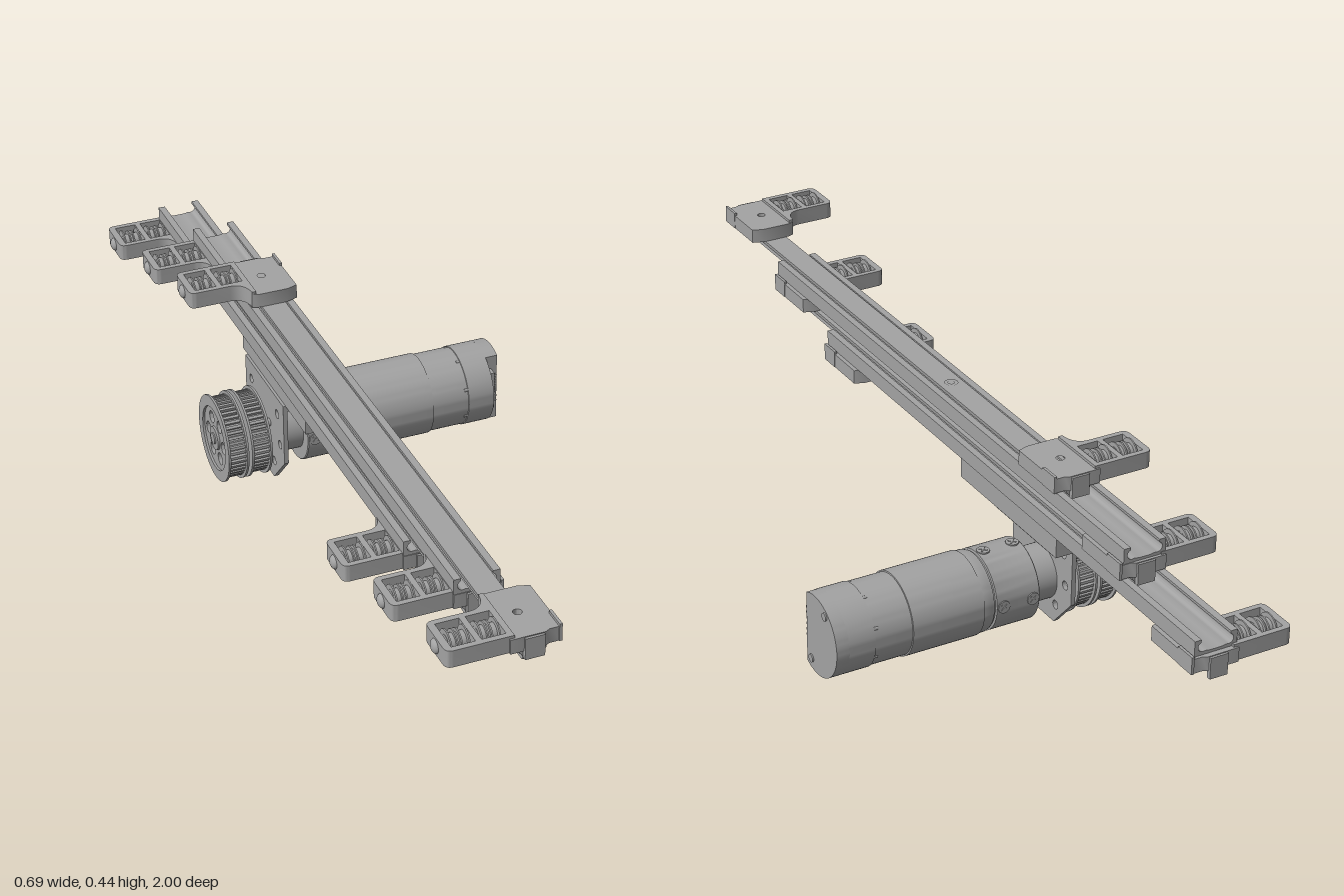
import * as THREE from 'three';
import { toCreasedNormals } from 'three/addons/utils/BufferGeometryUtils.js';

export function createModel() {
  const model = new THREE.Group();
  model.name = 'motorisedTelescopicSlide';
  const steel = new THREE.MeshStandardMaterial({ color: 0xa3a3a3 });
  steel.name = 'steelGrey';
  const CX = -0.1625;            // rail centre line
  const MY = 0.1, MZ = -0.32;    // motor axis

  const add = (geo, name, parent = model) => {
    const m = new THREE.Mesh(geo, steel);
    m.name = name;
    parent.add(m);
    return m;
  };
  const box = (name, x0, x1, y0, y1, z0, z1, parent) =>
    add(new THREE.BoxGeometry(x1 - x0, y1 - y0, Math.abs(z1 - z0)), name, parent)
      .position.set((x0 + x1) / 2, (y0 + y1) / 2, (z0 + z1) / 2);
  const rodX = (name, x0, x1, r, y = MY, z = MZ, parent = model, seg = 48) => {
    const m = add(new THREE.CylinderGeometry(r, r, x1 - x0, seg).rotateZ(Math.PI / 2), name, parent);
    m.position.set((x0 + x1) / 2, y, z);
    return m;
  };
  const extrude = (shape, depth, curveSegments = 12) =>
    toCreasedNormals(new THREE.ExtrudeGeometry(shape, { depth, bevelEnabled: false, curveSegments }), 0.5);
  // shape drawn in (-z, y), pushed along +x
  const alongX = (name, shape, x0, x1, seg) => {
    const m = add(extrude(shape, x1 - x0, seg).rotateY(Math.PI / 2), name);
    m.position.x = x0;
    return m;
  };
  // shape drawn in (x, z), occupying y0..y1
  const upright = (name, shape, y0, y1, parent) => {
    const m = add(extrude(shape, y1 - y0, 8).rotateX(Math.PI / 2), name, parent);
    m.position.y = y1;
    return m;
  };
  const poly = pts => new THREE.Shape(pts.map(p => new THREE.Vector2(...p)));
  const hole = (x, y, r) => new THREE.Path().absarc(x, y, r, 0, Math.PI * 2, true);
  const arcPts = (cx, cy, r, a0, a1, n = 8) =>
    Array.from({ length: n + 1 }, (_, i) => {
      const a = a0 + (a1 - a0) * i / n;
      return [cx + r * Math.cos(a), cy + r * Math.sin(a)];
    });
  const mirrored = half => poly([...half, ...half.map(([x, y]) => [-x, y]).reverse()]);

  // Rails: channel with ball grooves, and the inner rail running in it
  const channel = mirrored([[0.012, 0.006], [0.024, 0.008],
    ...arcPts(0.029, 0.018, 0.011, -1.9, 1.2), [0.033, 0.034], [0.048, 0.034], [0.048, 0]]);
  const innerRail = mirrored([[0.019, 0.012], ...arcPts(0.03, 0.018, 0.009, 3.7, 1.9), [0.027, 0.034]]);
  const rail = (name, shape, y, z0, z1) =>
    add(extrude(shape, z1 - z0), name).position.set(CX, y, z0);
  rail('lowerChannel', channel, 0.283, -0.985, 0.495);
  rail('middleInnerRail', innerRail, 0.286, -0.735, 0.735);
  rail('upperChannel', channel, 0.353, -0.735, 0.74);
  rail('upperInnerRail', innerRail, 0.356, -0.49, 0.99);
  for (const z of [0.02, 0.24]) {
    const ring = add(new THREE.RingGeometry(0.007, 0.015, 24).rotateX(-Math.PI / 2), 'railHoleRim');
    ring.position.set(CX, 0.3915, z);
  }

  // Pulley bracket: clamp plate, windowed arm, two small idlers on a bolt
  function bracket(y, zEnd) {
    const g = new THREE.Group();
    g.name = 'pulleyBracket';
    model.add(g);
    const d = Math.sign(zEnd);
    const z = s => zEnd - d * (0.155 - s);   // s runs outwards along the rail
    const plate = poly([[-0.21, 0.005], [-0.195, 0], [-0.13, 0], [-0.106, 0.008],
      [-0.106, 0.145], [-0.13, 0.145], [-0.14, 0.15], [-0.21, 0.15]].map(([x, s]) => [x, z(s)]));
    plate.holes.push(hole(CX, z(0.075), 0.009));
    upright('clampPlate', plate, y, y + 0.032, g);
    const arm = new THREE.Shape();
    arm.moveTo(-0.2, z(0.005));
    arm.lineTo(-0.21, z(0.005));
    arm.quadraticCurveTo(-0.212, z(0.045), -0.245, z(0.047));
    arm.lineTo(-0.32, z(0.047));
    arm.quadraticCurveTo(-0.335, z(0.047), -0.335, z(0.062));
    arm.lineTo(-0.335, z(0.13));
    arm.quadraticCurveTo(-0.335, z(0.146), -0.32, z(0.146));
    arm.lineTo(-0.2, z(0.146));
    for (const x of [-0.32, -0.26])
      arm.holes.push(new THREE.Path([[x, 0.059], [x + 0.048, 0.059], [x + 0.048, 0.134], [x, 0.134]]
        .map(([a, s]) => new THREE.Vector2(a, z(s)))));
    upright('idlerArm', arm, y + 0.001, y + 0.038, g);
    const yc = y + 0.019, zc = z(0.097);
    for (const x of [-0.296, -0.236]) {
      rodX('idlerCore', x - 0.02, x + 0.02, 0.018, yc, zc, g, 20);
      for (const e of [-0.018, -0.004, 0.004, 0.018])
        rodX('idlerFlange', x + e - 0.0015, x + e + 0.0015, Math.abs(e) > 0.01 ? 0.028 : 0.025, yc, zc, g, 24);
    }
    rodX('idlerBolt', -0.337, -0.2, 0.007, yc, zc, g, 16);
    const head = add(new THREE.SphereGeometry(0.015, 20, 8, 0, Math.PI * 2, 0, Math.PI / 2)
      .scale(1, 0.65, 1).rotateZ(Math.PI / 2), 'boltHead', g);
    head.position.set(-0.334, yc, zc);
    box('endTab', CX - 0.02, CX + 0.02, y - 0.017, y + 0.03, z(0.145), zEnd, g);
    box('sideLip', -0.111, -0.105, y, y + 0.038, z(0.1), z(0.147), g);
  }
  for (const [y, a, b] of [[0.39, 1, -0.5], [0.32, 0.745, -0.745], [0.25, 0.5, -1]]) {
    bracket(y, a);
    bracket(y, b);
  }

  // Motor mount: clamp bar, flange and upright plate
  box('mountBar', -0.194, -0.131, 0.221, 0.284, -0.465, -0.08);
  box('mountFlange', -0.2, -0.143, 0.207, 0.222, -0.435, -0.2);
  const plate = poly([[0.2, 0.22], [0.2, 0.075], [0.268, 0.002], [0.37, 0.002], [0.435, 0.075], [0.435, 0.22]]);
  for (const [a, b] of [[0.24, 0.18], [0.4, 0.18], [0.225, 0.11], [0.41, 0.11], [0.265, 0.045], [0.375, 0.045]])
    plate.holes.push(hole(a, b, 0.01));
  plate.holes.push(hole(0.32, MY, 0.03));
  alongX('mountPlate', plate, -0.2, -0.19);

  // Gearmotor
  rodX('gearboxNose', -0.19, -0.132, 0.06);
  for (let i = 0; i < 4; i++) {
    const a = Math.PI / 4 + i * Math.PI / 2;
    rodX('mountScrew', -0.206, -0.199, 0.009, MY + 0.045 * Math.sin(a), MZ + 0.045 * Math.cos(a), model, 12);
  }
  const profile = [[0, -0.132], [0.086, -0.132], [0.088, -0.13], [0.088, -0.03], [0.083, -0.029], [0.083, -0.026],
    [0.086, -0.025], [0.0885, -0.018], [0.0885, 0], [0.091, 0.0005], [0.091, 0.166], [0.088, 0.1665],
    [0.088, 0.251], [0.09, 0.2515], [0.09, 0.312], [0, 0.312]].map(([r, x]) => new THREE.Vector2(r, x));
  const body = add(toCreasedNormals(new THREE.LatheGeometry(profile, 64).rotateZ(-Math.PI / 2), 0.4), 'motorBody');
  body.position.set(0, MY, MZ);
  // End cap cut by a flat on its front side, where the connector sits
  const cut = Math.acos(-0.04 / 0.09);
  alongX('motorEndCap', poly(arcPts(0.32, MY, 0.09, -cut, cut, 48)), 0.311, 0.34);
  box('connector', 0.311, 0.325, 0.06, 0.15, -0.281, -0.258);
  for (let i = 0; i < 6; i++) box('connectorPin', 0.324, 0.334, 0.07 + i * 0.013, 0.075 + i * 0.013, -0.271, -0.266);
  for (const [y, z] of [[0.035, -0.3], [0.165, -0.36]]) rodX('endScrew', 0.339, 0.343, 0.009, y, z, model, 16);
  for (let i = 0; i < 8; i++) {
    const a = i * Math.PI / 4 + 0.4;
    rodX('ventTab', 0.243, 0.2515, 0.004, MY + 0.086 * Math.sin(a), MZ + 0.086 * Math.cos(a), model, 8);
  }
  // Cross-head screws around the gearbox
  for (let i = 0; i < 4; i++) for (const x of [-0.115, -0.046]) {
    const screw = new THREE.Group();
    screw.name = 'gearboxScrew';
    add(new THREE.CylinderGeometry(0.014, 0.014, 0.006, 20).rotateX(Math.PI / 2), 'screwHead', screw).position.z = 0.087;
    for (const t of [0.785, -0.785]) {
      const bar = add(new THREE.BoxGeometry(0.018, 0.003, 0.002), 'screwCross', screw);
      bar.position.z = 0.0905;
      bar.rotation.z = t;
    }
    screw.position.set(x, MY, MZ);
    screw.rotation.x = i * Math.PI / 2;
    model.add(screw);
  }

  // Output shaft and the two toothed belt pulleys
  rodX('outputShaft', -0.322, -0.17, 0.013, MY, MZ, model, 24);
  rodX('shaftCollar', -0.218, -0.188, 0.02, MY, MZ, model, 24);
  const teeth = [], N = 48;
  for (let i = 0; i < N; i++)
    for (const [f, r] of [[0, 0.091], [0.5, 0.091], [0.6, 0.084], [0.9, 0.084]]) {
      const a = (i + f) / N * Math.PI * 2;
      teeth.push([0.32 + r * Math.cos(a), MY + r * Math.sin(a)]);
    }
  const rim = poly(teeth);
  rim.holes.push(hole(0.32, MY, 0.074));
  const web = new THREE.Shape().absarc(0.32, MY, 0.075, 0, Math.PI * 2);
  for (let i = 0; i < 6; i++)
    web.holes.push(hole(0.32 + 0.047 * Math.cos(i * Math.PI / 3), MY + 0.047 * Math.sin(i * Math.PI / 3), 0.014));
  const flange = new THREE.Shape().absarc(0.32, MY, 0.098, 0, Math.PI * 2);
  flange.holes.push(hole(0.32, MY, 0.073));
  for (const [a, b] of [[-0.319, -0.272], [-0.265, -0.218]]) {
    alongX('pulleyTeeth', rim, a + 0.002, b - 0.002);
    alongX('pulleyWeb', web, a + 0.005, b - 0.005, 20);
    alongX('pulleyFlange', flange, a, a + 0.005, 32);
    alongX('pulleyFlange', flange, b - 0.005, b, 32);
    rodX('pulleyHub', a, b, 0.027, MY, MZ, model, 24);
  }
  return model;
}
